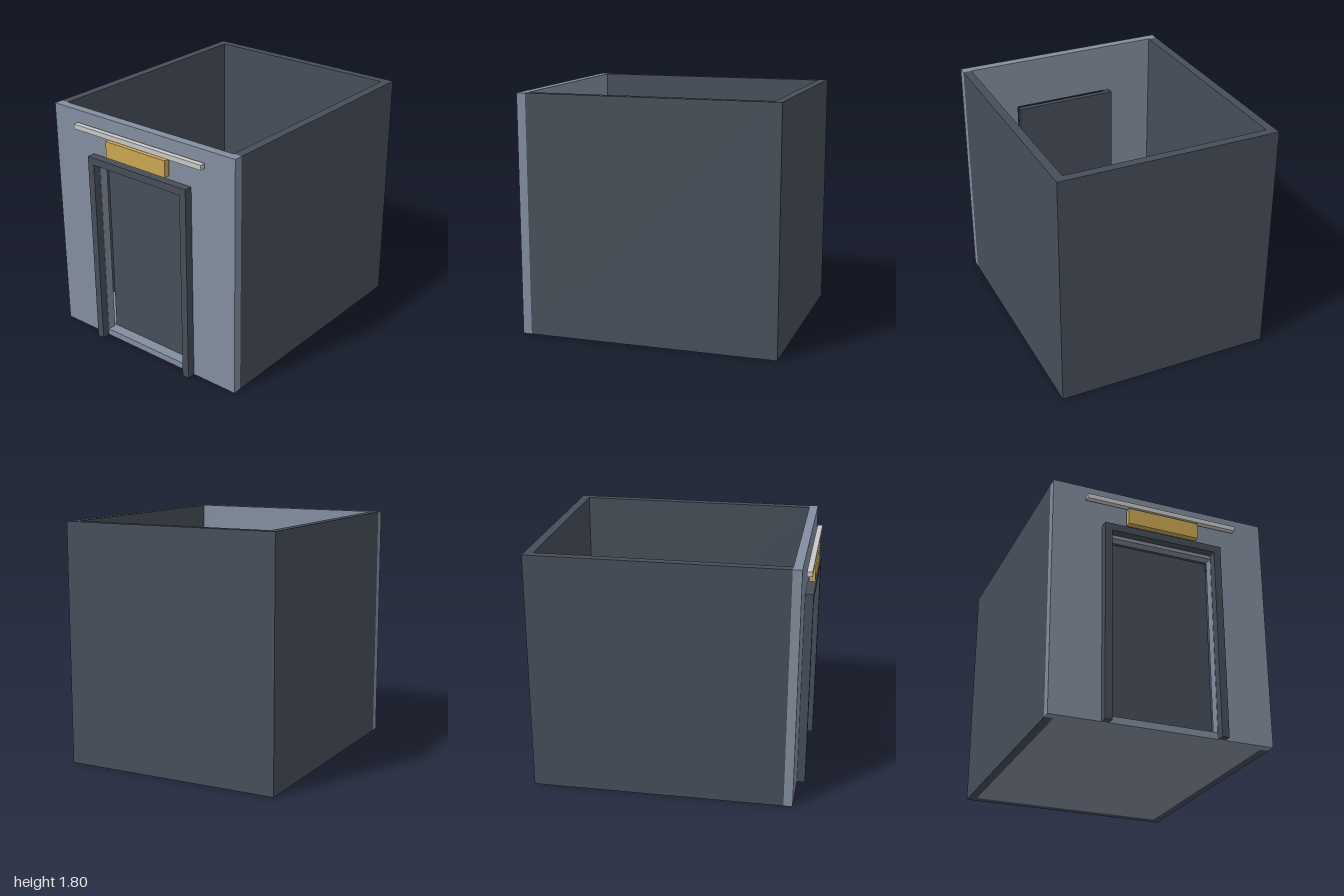
import * as THREE from 'three';

function material(name, color) {
  const m = new THREE.MeshStandardMaterial({ color });
  m.name = name;
  return m;
}

export function createModel() {
  const group = new THREE.Group();
  group.name = 'room';
  const light = material('lightBlueGrey', 0x828d9e);
  const dark = material('darkSlate', 0x464e59);
  const gold = material('gold', 0xcaa653);
  const pale = material('paleGrey', 0xc6c7c6);

  // Box given by its lower and upper limits on each axis
  function box(name, mat, [x0, x1], [y0, y1], [z0, z1]) {
    const mesh = new THREE.Mesh(new THREE.BoxGeometry(x1 - x0, y1 - y0, z1 - z0), mat);
    mesh.position.set((x0 + x1) / 2, (y0 + y1) / 2, (z0 + z1) / 2);
    mesh.name = name;
    group.add(mesh);
  }

  // Upright arch with an opening down to the floor, extruded along z
  function arch(name, mat, halfW, h, holeHalfW, holeH, z0, z1) {
    const shape = new THREE.Shape([
      [-halfW, 0], [-holeHalfW, 0], [-holeHalfW, holeH], [holeHalfW, holeH],
      [holeHalfW, 0], [halfW, 0], [halfW, h], [-halfW, h],
    ].map(([x, y]) => new THREE.Vector2(x, y)));
    const mesh = new THREE.Mesh(
      new THREE.ExtrudeGeometry(shape, { depth: z1 - z0, bevelEnabled: false }), mat);
    mesh.position.z = z0;
    mesh.name = name;
    group.add(mesh);
  }

  const W = 0.83, H = 1.8, T = 0.065;
  const wallBack = 0.872, wallFront = 0.938;

  // Shell: floor, back and side walls, front wall with doorway
  box('floor', light, [-W + T, W - T], [0, 0.05], [-1 + T, wallBack]);
  box('threshold', light, [-0.4, 0.4], [0, 0.05], [wallBack, wallFront]);
  box('backWall', dark, [-W, W], [0, H], [-1, -1 + T]);
  box('leftWall', dark, [W - T, W], [0, H], [-1 + T, wallBack]);
  box('rightWall', dark, [-W, -W + T], [0, H], [-1 + T, wallBack]);
  arch('frontWall', light, W, H, 0.4, 1.418, wallBack, wallFront);

  // Door with its surround
  arch('doorFrame', dark, 0.456, 1.5, 0.402, 1.445, wallFront, 1);
  box('door', dark, [-0.4, 0.4], [0.05, 1.418], [0.815, 0.855]);

  // Sign plate and light bar held just off the front wall
  box('signPlate', gold, [-0.274, 0.274], [1.535, 1.66], [0.953, 0.997]);
  box('lightBar', pale, [-0.588, 0.588], [1.675, 1.712], [0.953, 0.993]);

  return group;
}
